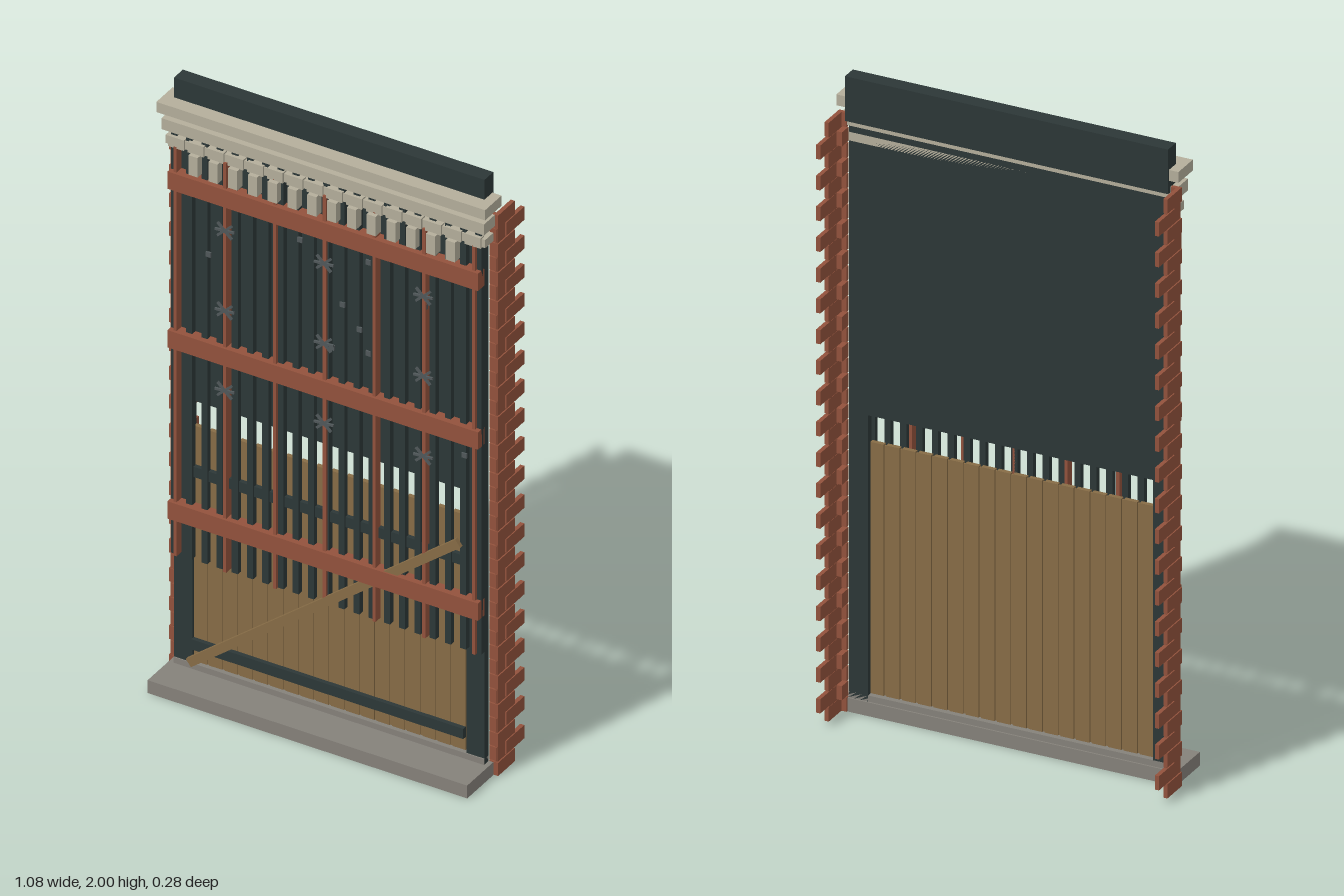
import * as THREE from 'three';

const paint = (name, color) => {
  const m = new THREE.MeshStandardMaterial({ color });
  m.name = name;
  return m;
};

export function createModel() {
  const root = new THREE.Group();
  root.name = 'gateFacade';
  const dark = paint('dark green paint', 0x2c3737);
  const brick = paint('brick red', 0x92523c);
  const stone = paint('pale stone', 0xb4ae9b);
  const slab = paint('grey step stone', 0x85817a);
  const wood = paint('old wood', 0x876c46);
  const metal = paint('dull metal', 0x50585a);

  const group = (name) => {
    const g = new THREE.Group();
    g.name = name;
    root.add(g);
    return g;
  };
  // Box given by its minimum and maximum on each axis
  const box = (parent, name, mat, x0, x1, y0, y1, z0, z1) => {
    const mesh = new THREE.Mesh(new THREE.BoxGeometry(x1 - x0, y1 - y0, z1 - z0), mat);
    mesh.position.set((x0 + x1) / 2, (y0 + y1) / 2, (z0 + z1) / 2);
    mesh.name = name;
    parent.add(mesh);
    return mesh;
  };

  // Step and threshold
  box(root, 'step', slab, -0.525, 0.525, 0, 0.043, -0.005, 0.141);
  box(root, 'threshold', slab, -0.51, 0.51, 0.043, 0.062, 0, 0.026);

  // Wall panel, jambs and head beam
  const wall = group('wall');
  box(wall, 'upperPanel', dark, -0.51, 0.51, 0.94, 1.87, 0, 0.022);
  for (const s of [-1, 1]) {
    box(wall, 'jamb', dark, s * 0.48 - 0.03, s * 0.48 + 0.03, 0.043, 0.94, 0, 0.022);
  }
  box(wall, 'headBeam', dark, -0.51, 0.51, 1.86, 2, -0.025, 0.023);

  // Toothed brick returns on both sides
  const rows = 39, pitch = 1.88 / rows;
  for (const s of [-1, 1]) {
    const quoin = group(s > 0 ? 'leftBrickwork' : 'rightBrickwork');
    const span = (a, b) => (s > 0 ? [a, b] : [-b, -a]);
    box(quoin, 'brickBacking', brick, ...span(0.529, 0.537), 0.003, 1.877, -0.088, -0.002);
    for (let i = 0; i < rows; i++) {
      const y0 = i * pitch + 0.002, y1 = (i + 1) * pitch - 0.002;
      if (i % 2) {
        box(quoin, 'frontBrick', brick, ...span(0.512, 0.536), y0, y1, -0.04, 0);
        box(quoin, 'longBrick', brick, ...span(0.528, 0.541), y0, y1, -0.142, -0.044);
      } else {
        box(quoin, 'shortBrick', brick, ...span(0.528, 0.541), y0, y1, -0.09, 0);
        box(quoin, 'frontBrick', brick, ...span(0.512, 0.528), y0, y1, -0.012, 0);
      }
    }
  }

  // Plank door with thin joint strips, cross rails and a diagonal brace
  const door = group('door');
  for (let i = 0; i < 18; i++) {
    const x = -0.425 + i * 0.05;
    box(door, 'plank', wood, x - 0.021, x + 0.021, 0.068, 0.855, 0.006, 0.02);
    if (i < 17) box(door, 'jointStrip', wood, x + 0.021, x + 0.029, 0.068, 0.85, 0.011, 0.017);
  }
  for (const y of [0.13, 0.71]) box(door, 'doorRail', dark, -0.447, 0.447, y - 0.017, y + 0.017, 0.02, 0.034);
  const a = new THREE.Vector2(-0.445, 0.078), b = new THREE.Vector2(0.44, 0.775);
  const brace = box(door, 'diagonalBrace', wood, -a.distanceTo(b) / 2, a.distanceTo(b) / 2, -0.014, 0.014, 0, 0.013);
  brace.position.set((a.x + b.x) / 2, (a.y + b.y) / 2, 0.046);
  brace.rotation.z = Math.atan2(b.y - a.y, b.x - a.x);

  // Screen of dark slats
  const screen = group('slatScreen');
  for (let i = -10; i <= 10; i++) {
    const x = i * 0.05;
    box(screen, 'slat', dark, x - 0.01, x + 0.01, 0.42, 1.83, 0.022, 0.04);
  }

  // Red posts and rails
  const frame = group('redFrame');
  for (let i = -3; i <= 3; i++) {
    const x = i * 0.1635;
    box(frame, 'post', brick, x - 0.005, x + 0.005, 0.42, 1.79, 0.022, 0.05);
  }
  for (const y of [0.572, 1.145, 1.676]) {
    box(frame, 'rail', brick, -0.51, 0.51, y - 0.029, y + 0.029, 0.022, 0.058);
  }

  // Star-shaped ties: three crossed bars each
  for (const x of [-0.326, 0, 0.326]) {
    for (const y of [1.03, 1.297, 1.565]) {
      const star = group('starTie');
      star.position.set(x, y, 0.052);
      for (const angle of [0.08, 0.75, -0.75]) {
        box(star, 'starBar', metal, -0.032, 0.032, -0.0035, 0.0035, -0.003, 0.003).rotation.z = angle;
      }
    }
  }
  // Loose bolt plates
  const bolts = group('boltPlates');
  for (const [x, y] of [[-0.385, 1.46], [-0.085, 1.61], [0.14, 1.61], [0.055, 1.44], [0.11, 1.375],
    [0.14, 1.305], [0.02, 1.285], [0.325, 1.525], [0.455, 1.07]]) {
    box(bolts, 'boltPlate', metal, x - 0.008, x + 0.008, y - 0.008, y + 0.008, 0.038, 0.044);
  }

  // Stepped cornice with blocks and dentils
  const cornice = group('cornice');
  box(cornice, 'topMoulding', stone, -0.54, 0.54, 1.9, 1.934, -0.02, 0.069);
  box(cornice, 'middleMoulding', stone, -0.53, 0.53, 1.84, 1.877, -0.01, 0.058);
  box(cornice, 'lowerMoulding', stone, -0.525, 0.525, 1.788, 1.815, 0, 0.044);
  for (let i = 0; i < 16; i++) {
    const x = (i - 7.5) * 0.065;
    box(cornice, 'corniceBlock', stone, x - 0.026, x + 0.026, 1.785, 1.82, 0.03, 0.05);
    if (i > 0 && i < 15) box(cornice, 'dentil', stone, x - 0.015, x + 0.015, 1.722, 1.787, 0.035, 0.064);
  }
  return root;
}
